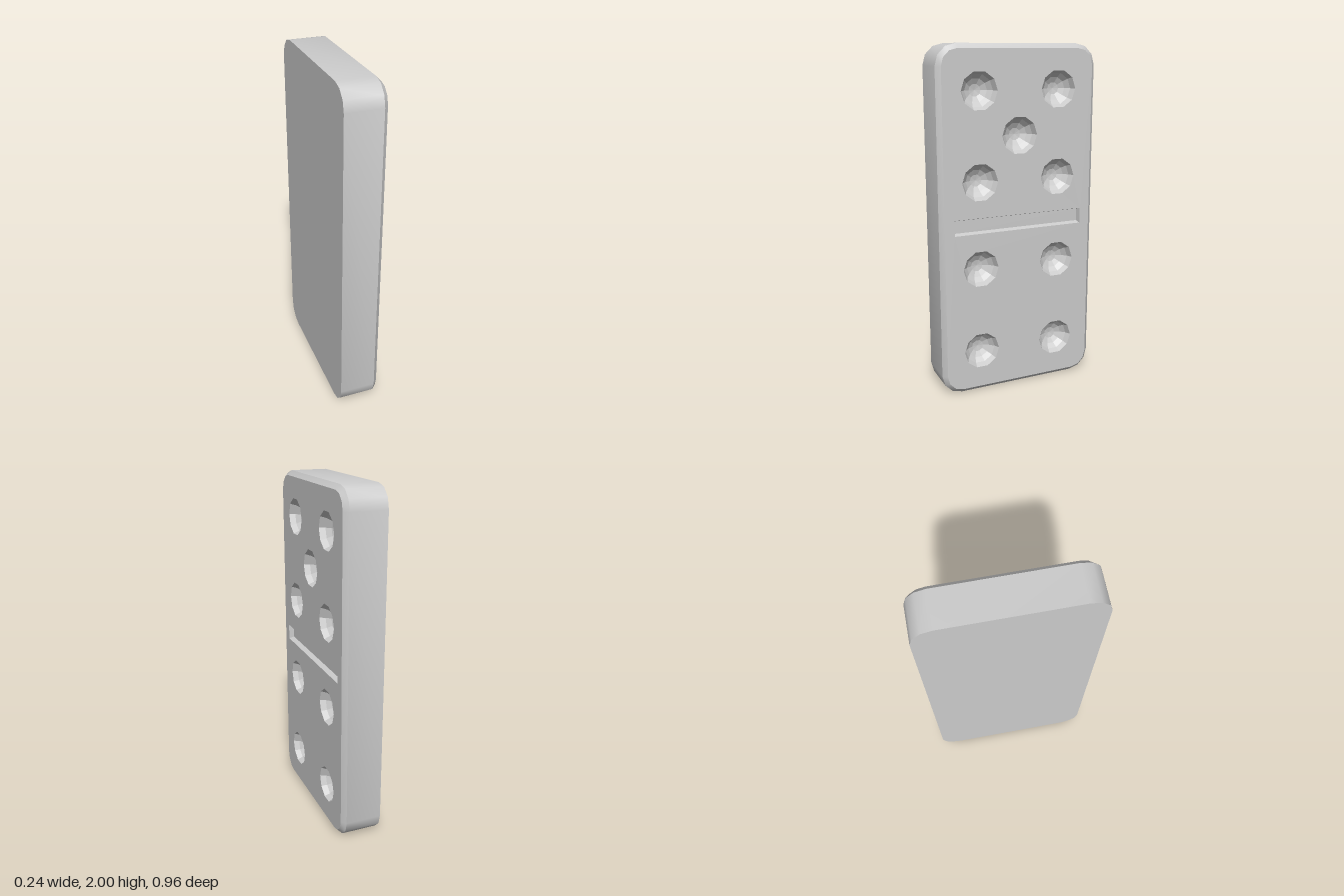
import * as THREE from 'three';
import { toCreasedNormals } from 'three/addons/utils/BufferGeometryUtils.js';

const HALF_T = 0.118, BEVEL = 0.026, HALF_W = 0.48, CORNER = 0.12;
const PIP_R = 0.107, SPHERE_R = 0.112;

// Counter-clockwise outline of the tile, inset by a given amount
function tileLoop(inset) {
  const pts = [], r = CORNER - inset, steps = 3;
  [[1, 1], [-1, 1], [-1, -1], [1, -1]].forEach(([sx, sy], q) => {
    for (let i = 0; i <= steps; i++) {
      const a = (q + i / steps) * Math.PI / 2;
      pts.push(new THREE.Vector2(
        sx * (HALF_W - CORNER) + r * Math.cos(a),
        1 + sy * (1 - CORNER) + r * Math.sin(a)));
    }
  });
  return pts;
}

function circleLoop(cx, cy, r, n = 10) {
  return Array.from({ length: n }, (_, i) => {
    const a = i / n * Math.PI * 2;
    return new THREE.Vector2(cx + r * Math.cos(a), cy + r * Math.sin(a));
  });
}

function rectLoop(w, h, cy) {
  return [[-1, -1], [1, -1], [1, 1], [-1, 1]].map(([sx, sy]) =>
    new THREE.Vector2(sx * w / 2, cy + sy * h / 2));
}

// Skin a series of [loop, depth] sections; a final loop shrunk to a point makes a fan
function loft(sections) {
  const pos = [];
  for (let s = 0; s < sections.length - 1; s++) {
    const [a, za] = sections[s], [b, zb] = sections[s + 1];
    a.forEach((p, i) => {
      const j = (i + 1) % a.length;
      pos.push(p.x, p.y, za, a[j].x, a[j].y, za, b[j].x, b[j].y, zb);
      if (b[i].distanceTo(b[j]) > 1e-6) {
        pos.push(p.x, p.y, za, b[j].x, b[j].y, zb, b[i].x, b[i].y, zb);
      }
    });
  }
  const g = new THREE.BufferGeometry();
  g.setAttribute('position', new THREE.Float32BufferAttribute(pos, 3));
  g.computeVertexNormals();
  return g;
}

export function createModel() {
  const model = new THREE.Group();
  model.name = 'dominoTile';
  // Tile is drawn upright in XY, then turned so its face looks along +x
  const tile = new THREE.Group();
  tile.name = 'tile';
  tile.rotation.y = Math.PI / 2;
  model.add(tile);

  const smooth = new THREE.MeshStandardMaterial({ color: 0xcccccc });
  const faceted = new THREE.MeshStandardMaterial({ color: 0xcccccc, flatShading: true });
  const add = (name, geometry, material) => {
    const mesh = new THREE.Mesh(geometry, material);
    mesh.name = name;
    tile.add(mesh);
    return mesh;
  };

  // Side walls with a chamfer on the face side only
  const outer = tileLoop(0), inner = tileLoop(BEVEL);
  add('sideWalls', toCreasedNormals(
    loft([[outer, -HALF_T], [outer, HALF_T - BEVEL], [inner, HALF_T]]), 0.6), smooth);

  // Plain back
  const back = new THREE.ShapeGeometry(new THREE.Shape(outer.map(p => new THREE.Vector2(-p.x, p.y)).reverse()));
  back.rotateY(Math.PI);
  back.translate(0, 0, -HALF_T);
  add('back', back, smooth);

  // Face with openings for the pips and the dividing groove
  const pips = [[0, 1.5]];
  for (const y of [0.25, 0.75, 1.25, 1.75]) pips.push([-0.24, y], [0.24, y]);
  const grooveRim = rectLoop(0.79, 0.09, 1.003);
  const grooveFloor = rectLoop(0.775, 0.072, 1.003);
  const faceShape = new THREE.Shape(inner);
  faceShape.holes.push(new THREE.Path(grooveRim));
  pips.forEach(([x, y]) => faceShape.holes.push(new THREE.Path(circleLoop(x, y, PIP_R))));
  const face = new THREE.ShapeGeometry(faceShape);
  face.translate(0, 0, HALF_T);
  add('face', face, smooth);

  // Pips: faceted spherical hollows
  const rimAngle = Math.asin(PIP_R / SPHERE_R);
  const centreZ = HALF_T + SPHERE_R * Math.cos(rimAngle);
  pips.forEach(([x, y], k) => {
    const rings = [1, 0.75, 0.5, 0.25, 0].map(t => [
      circleLoop(x, y, SPHERE_R * Math.sin(rimAngle * t)),
      centreZ - SPHERE_R * Math.cos(rimAngle * t)]);
    add('pip' + (k + 1), loft(rings), faceted);
  });

  // Dividing groove
  const depth = HALF_T - 0.03;
  add('grooveWalls', loft([[grooveRim, HALF_T], [grooveFloor, depth]]), faceted);
  const floor = new THREE.ShapeGeometry(new THREE.Shape(grooveFloor));
  floor.translate(0, 0, depth);
  add('grooveFloor', floor, smooth);

  return model;
}
